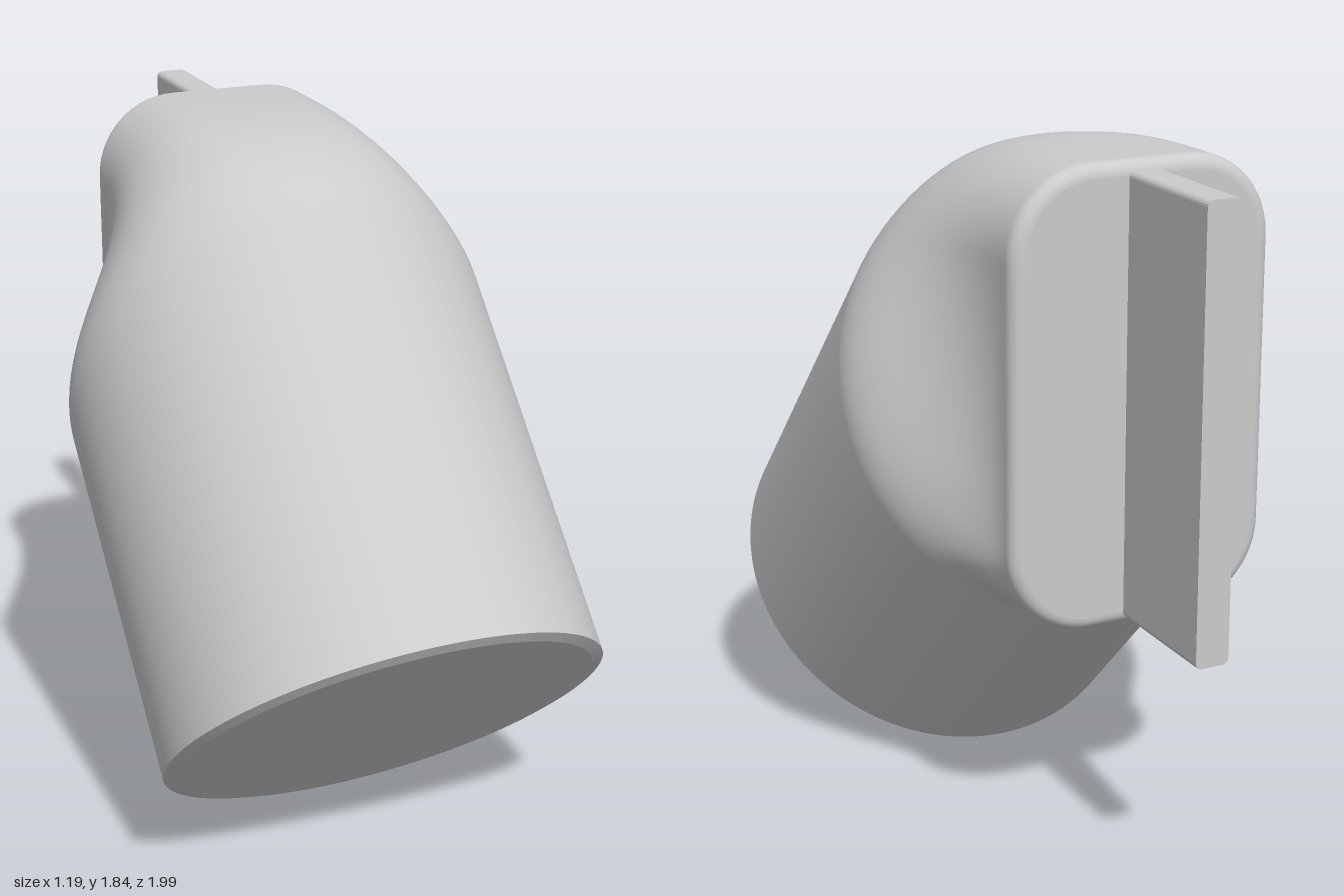
import * as THREE from 'three';

const SEG = 128;
const R = 0.593;                                     // barrel radius
const base = new THREE.Vector3(0, 0.42, 0.58);       // centre of the open end
const axis = new THREE.Vector3(0, Math.SQRT1_2, -Math.SQRT1_2);
const up = new THREE.Vector3(0, Math.SQRT1_2, Math.SQRT1_2);
const MID_Y = 1.2525, HX = 0.355, HY = 0.5925, CORNER = 0.22;

// Point on a rounded rectangle; a runs 0..2PI from +x, evenly along the outline
function roundedRect(a, hx, hy, r) {
  const side = hy - r, arc = r * Math.PI / 2, top = hx - r;
  const q = Math.floor(a / (Math.PI / 2) + 1e-9) % 4;
  let t = a / (Math.PI / 2) - Math.floor(a / (Math.PI / 2) + 1e-9);
  if (q % 2) t = 1 - t;
  const l = t * (side + arc + top);
  let x, y;
  if (l < side) { x = hx; y = l; }
  else if (l < side + arc) {
    const b = (l - side) / r;
    x = top + r * Math.cos(b); y = side + r * Math.sin(b);
  } else { x = top - (l - side - arc); y = hy; }
  return [q === 1 || q === 2 ? -x : x, q >= 2 ? -y : y];
}

const ring = (fn) => Array.from({ length: SEG }, (_, j) => fn(j / SEG * Math.PI * 2));

// Point on the tilted barrel, s along its axis
const barrelPoint = (a, r, s) => base.clone().addScaledVector(axis, s)
  .addScaledVector(up, r * Math.sin(a)).add(new THREE.Vector3(r * Math.cos(a), 0, 0));

// Point on the upright back outline, inset by e
function backPoint(a, e, z) {
  const [x, y] = roundedRect(a, HX - e, HY - e, CORNER - e);
  return new THREE.Vector3(x, MID_Y + y, z);
}

const elbowStart = (a) => 1.035 + 0.165 * Math.sin(a);

// Smooth bend from the barrel to the back outline
function bendPoint(a, t) {
  const p = barrelPoint(a, R, elbowStart(a)), q = backPoint(a, 0, -0.6);
  const m = p.distanceTo(q), t2 = t * t, t3 = t2 * t;
  return p.multiplyScalar(2 * t3 - 3 * t2 + 1)
    .addScaledVector(axis, m * (t3 - 2 * t2 + t))
    .addScaledVector(q, 3 * t2 - 2 * t3)
    .addScaledVector(new THREE.Vector3(0, 0, -1), m * (t3 - t2));
}

// Skin a list of rings
function loft(rings) {
  const pos = [], idx = [];
  rings.forEach((r) => r.forEach((p) => pos.push(p.x, p.y, p.z)));
  for (let i = 0; i < rings.length - 1; i++) {
    for (let j = 0; j < SEG; j++) {
      const a = i * SEG + j, b = i * SEG + (j + 1) % SEG;
      idx.push(a, a + SEG, b, b, a + SEG, b + SEG);
    }
  }
  const g = new THREE.BufferGeometry();
  g.setAttribute('position', new THREE.Float32BufferAttribute(pos, 3));
  g.setIndex(idx);
  g.computeVertexNormals();
  return g;
}

export function createModel() {
  const group = new THREE.Group();
  const material = new THREE.MeshStandardMaterial({ color: 0xcccccc });
  const add = (name, geometry) => {
    const mesh = new THREE.Mesh(geometry, material);
    mesh.name = name;
    group.add(mesh);
    return mesh;
  };

  // Barrel, bend and rounded back edge in one smooth skin
  const rings = [];
  for (let i = 0; i < 8; i++) {
    rings.push(ring((a) => barrelPoint(a, R, 0.01 + (elbowStart(a) - 0.01) * i / 8)));
  }
  for (let i = 0; i <= 32; i++) rings.push(ring((a) => bendPoint(a, i / 32)));
  const f = 0.035;
  for (let i = 0; i <= 8; i++) {
    const b = i / 8 * Math.PI / 2;
    rings.push(ring((a) => backPoint(a, f * (1 - Math.cos(b)), -0.603 - f * Math.sin(b))));
  }
  add('elbowBody', loft(rings));

  // Flat back face
  add('backFace', loft([
    ring((a) => backPoint(a, f, -0.638)),
    ring(() => new THREE.Vector3(0, MID_Y, -0.638)),
  ]));

  // Front disc and its bevelled rim
  add('frontFace', loft([ring(() => base.clone()), ring((a) => barrelPoint(a, 0.56, 0))]));
  add('frontRim', loft([
    ring((a) => barrelPoint(a, 0.56, 0)),
    ring((a) => barrelPoint(a, R, 0.01)),
  ]));

  // Upright fin on the back, with softened long edges
  const outline = ring((a) => new THREE.Vector2(...roundedRect(a, 0.045, 0.57, 0.015)));
  const corner = [];
  for (const [sx, sy, start] of [[1, 1, 0], [-1, 1, 1], [-1, -1, 2], [1, -1, 3]]) {
    for (let i = 0; i <= 4; i++) {
      const b = (start + i / 4) * Math.PI / 2;
      corner.push(new THREE.Vector2(sx * 0.03 + 0.015 * Math.cos(b), sy * 0.555 + 0.015 * Math.sin(b)));
    }
  }
  const fin = add('backFin', new THREE.ExtrudeGeometry(
    new THREE.Shape(corner.length ? corner : outline), { depth: 0.38, bevelEnabled: false }));
  fin.position.set(0, 1.25, -1);

  return group;
}
